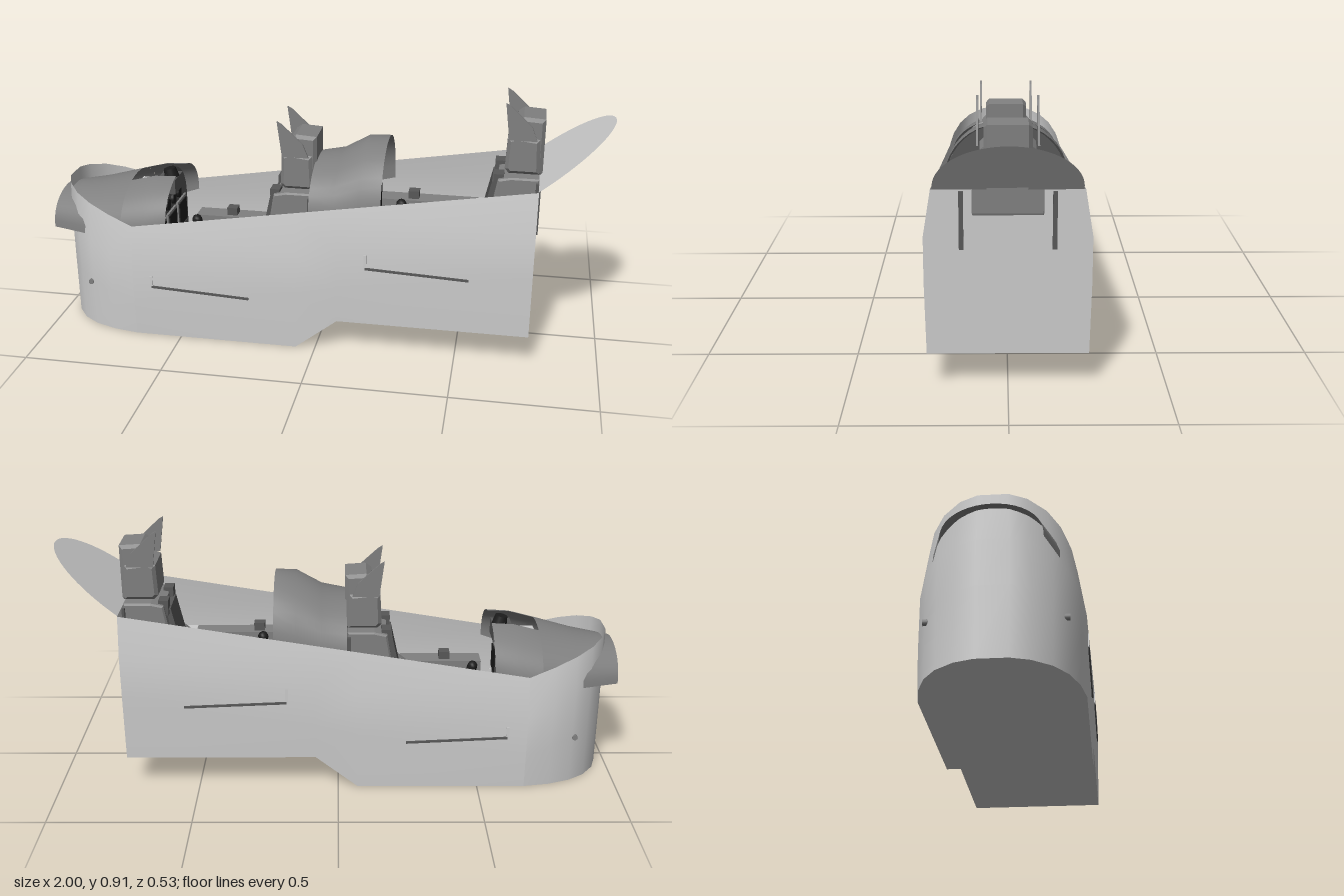
import * as THREE from 'three';

const mat = (name, color) => new THREE.MeshStandardMaterial({ name, color, side: THREE.DoubleSide });

export function createModel() {
  const model = new THREE.Group();
  model.name = 'cockpitTub';
  const pale = mat('paleGrey', 0xcccccc);
  const grey = mat('midGrey', 0x808080);
  const dark = mat('darkGrey', 0x585858);
  const black = mat('black', 0x1c1c1c);

  const add = (parent, name, geo, material, x = 0, y = 0, z = 0) => {
    const m = new THREE.Mesh(geo, material);
    m.name = name;
    m.position.set(x, y, z);
    parent.add(m);
    return m;
  };
  const box = (parent, name, material, x0, x1, y0, y1, z0, z1) =>
    add(parent, name, new THREE.BoxGeometry(x1 - x0, y1 - y0, z1 - z0), material,
      (x0 + x1) / 2, (y0 + y1) / 2, (z0 + z1) / 2);
  // Side-view outline extruded across z, centred on z
  const plate = (parent, name, material, pts, width, z = 0, bevel = 0) => {
    const shape = new THREE.Shape(pts.map(p => new THREE.Vector2(p[0], p[1])));
    const geo = new THREE.ExtrudeGeometry(shape, { depth: width - 2 * bevel, bevelEnabled: bevel > 0,
      bevelThickness: bevel, bevelSize: bevel, bevelOffset: -bevel, bevelSegments: 1 });
    return add(parent, name, geo, material, 0, 0, z - width / 2 + bevel);
  };
  // Skin through equal-length rows of points
  const loft = (rows, flat = false) => {
    const n = rows[0].length, idx = [];
    for (let i = 0; i < rows.length - 1; i++)
      for (let j = 0; j < n - 1; j++) {
        const a = i * n + j, b = a + n;
        idx.push(a, b, a + 1, b, b + 1, a + 1);
      }
    let geo = new THREE.BufferGeometry();
    geo.setAttribute('position', new THREE.Float32BufferAttribute(rows.flat(2), 3));
    geo.setIndex(idx);
    if (flat) geo = geo.toNonIndexed();
    geo.computeVertexNormals();
    return geo;
  };

  // Hull sides, leaning inward near the sill
  const sill = x => x < -0.67 ? 0.42 + (-0.67 - x) * 0.367 : 0.42 + (x + 0.67) * 0.1614;
  const section = (x, yB, w, s) => {
    const t = sill(x);
    return [[x, yB, s * w * 0.98], [x, t - 0.3, s * w], [x, t - 0.15, s * w], [x, t, s * w * 0.905]];
  };
  const body = [[-0.67, 0], [-0.07, 0], [0.08, 0.118], [0.755, 0.118]];
  for (const s of [1, -1])
    add(model, s > 0 ? 'leftHullSide' : 'rightHullSide',
      loft(body.map(([x, y]) => section(x, y, 0.258, s))), pale);

  // Rounded nose wall rising toward the front
  const nose = [[-0.67, 0.258], [-0.76, 0.242], [-0.84, 0.212], [-0.9, 0.17], [-0.945, 0.11], [-0.965, 0.05]];
  const noseRows = [...nose.map(([x, w]) => section(x, 0, w, 1)),
    ...nose.slice().reverse().map(([x, w]) => section(x, 0, w, -1))];
  add(model, 'noseWall', loft(noseRows), pale);

  // Underside, inner floor and rear bulkhead
  const stations = [...nose.slice().reverse().map(([x, w]) => [x, 0, w]),
    ...body.slice(1).map(([x, y]) => [x, y, 0.258])];
  const floorRows = (dy, k) => stations.map(([x, y, w]) => [[x, y + dy, w * k], [x, y + dy, -w * k]]);
  add(model, 'underside', loft(floorRows(0, 0.98), true), pale);
  add(model, 'cockpitFloor', loft(floorRows(0.06, 0.975), true), pale);
  add(model, 'rearBulkhead', loft(section(0.755, 0.118, 0.258, 1).map(([x, y, z]) =>
    [[x, y, z], [x, y, -z]]), true), pale);

  // Inclined half-oval panel behind the rear seat
  const oval = [];
  for (let i = 0; i <= 32; i++) {
    const a = Math.PI * i / 32, k = Math.sin(a);
    oval.push([[0.755 + 0.245 * k, 0.65 + 0.195 * k, 0.228 * Math.cos(a)], [0.755, 0.65, 0.228 * Math.cos(a)]]);
  }
  add(model, 'rearCanopyPanel', loft(oval, true), pale);

  // Arched hoods: stations are [x, half width, base y, top y]
  const arch = (rows, a0, a1) => loft(rows.map(([x, w, b, t]) => {
    const row = [];
    for (let i = 0; i <= 20; i++) {
      const a = (a0 + (a1 - a0) * i / 20) * Math.PI / 180;
      row.push([x, b + (t - b) * Math.pow(Math.abs(Math.sin(a)), 0.85), w * Math.cos(a)]);
    }
    return row;
  }));
  const face = (x, w, b, t, low) => {
    const rows = [];
    for (let i = 0; i <= 24; i++) {
      const a = Math.PI * i / 24, z = w * Math.cos(a);
      rows.push([[x, b + (t - b) * Math.pow(Math.sin(a) + 1e-9, 0.85), z], [x, low, z]]);
    }
    return loft(rows, true);
  };
  const front = [[-1, 0.15, 0.36, 0.475], [-0.86, 0.192, 0.36, 0.5], [-0.72, 0.222, 0.36, 0.538]];
  const back = [front[2], [-0.63, 0.224, 0.37, 0.562], [-0.55, 0.218, 0.4, 0.565]];
  add(model, 'frontHood', arch(front, 0, 180), grey);
  add(model, 'frontHoodLeft', arch(back, 0, 73), grey);
  add(model, 'frontHoodRight', arch(back, 107, 180), grey);
  box(model, 'hoodRecess', pale, -0.72, -0.62, 0.49, 0.498, -0.065, 0.065);
  box(model, 'sightBase', dark, -0.63, -0.56, 0.48, 0.535, -0.05, 0.05);
  const lens = add(model, 'sightLens', new THREE.CylinderGeometry(0.022, 0.028, 0.035, 16), black, -0.59, 0.547, 0);
  lens.rotation.z = 0.2;
  const middle = [[-0.03, 0.215, 0.47, 0.655], [0.06, 0.218, 0.47, 0.675],
    [0.15, 0.22, 0.48, 0.728], [0.225, 0.218, 0.5, 0.73]];
  add(model, 'middleHood', arch(middle, 0, 180), grey);
  add(model, 'middleHoodFront', face(-0.028, 0.215, 0.47, 0.655, 0.42), grey);

  // Instrument panels with dark screens
  for (const [x, w, b, t, low] of [[-0.6, 0.215, 0.37, 0.55, 0.2], [0.17, 0.214, 0.48, 0.715, 0.36]]) {
    add(model, 'instrumentPanel', face(x, w, b, t, low), dark);
    const y = b - 0.03;
    for (const z of [-0.125, 0, 0.125]) {
      box(model, 'screenFrame', grey, x, x + 0.008, y - 0.055, y + 0.055, z - 0.053, z + 0.053);
      box(model, 'screen', black, x + 0.006, x + 0.012, y - 0.045, y + 0.045, z - 0.043, z + 0.043);
    }
    for (const z of [-0.1, -0.035, 0.035, 0.1]) {
      const dial = add(model, 'dial', new THREE.CylinderGeometry(0.022, 0.022, 0.01, 14), black, x + 0.004, b + 0.06, z);
      dial.rotation.z = Math.PI / 2;
    }
  }

  // Side consoles, dark ahead and pale behind
  for (const s of [1, -1])
    for (const [x0, x1, x2, y0, y1] of [[-0.55, -0.24, -0.07, 0.06, 0.31], [0.16, 0.54, 0.75, 0.178, 0.43]]) {
      const z0 = s > 0 ? 0.168 : -0.245, z1 = s > 0 ? 0.245 : -0.168;
      box(model, 'consoleFront', grey, x0, x1, y0, y1, z0, z1);
      box(model, 'consoleRear', pale, x1, x2, y0, y1, z0, z1);
      box(model, 'throttle', dark, x0 + 0.12, x0 + 0.16, y1, y1 + 0.03, s * 0.205 - 0.02, s * 0.205 + 0.02);
    }

  // Ejection seats
  const seat = (dx, dy) => {
    const g = new THREE.Group();
    g.name = 'seat';
    box(g, 'seatBase', dark, 0.37, 0.66, 0.18, 0.32, -0.1, 0.1);
    plate(g, 'seatPan', grey, [[0.35, 0.29], [0.35, 0.37], [0.39, 0.385], [0.6, 0.355], [0.62, 0.29]], 0.23, 0, 0.01);
    plate(g, 'seatBack', grey, [[0.56, 0.32], [0.615, 0.64], [0.66, 0.65], [0.757, 0.65], [0.757, 0.575], [0.66, 0.28]], 0.226, 0, 0.006);
    plate(g, 'backCushion', dark, [[0.54, 0.37], [0.595, 0.62], [0.62, 0.62], [0.57, 0.36]], 0.15);
    plate(g, 'headrest', grey, [[0.635, 0.67], [0.64, 0.78], [0.67, 0.79], [0.75, 0.78], [0.755, 0.655], [0.65, 0.655]], 0.17, 0, 0.012);
    plate(g, 'headBox', grey, [[0.66, 0.77], [0.67, 0.84], [0.69, 0.855], [0.765, 0.85], [0.765, 0.65], [0.7, 0.65]], 0.146, 0, 0.012);
    for (const s of [1, -1]) {
      plate(g, 'seatSide', grey, [[0.34, 0.24], [0.34, 0.4], [0.5, 0.42], [0.6, 0.5], [0.66, 0.5], [0.64, 0.24]], 0.02, s * 0.122);
      box(g, 'seatRail', dark, 0.33, 0.755, 0.32, 0.335, s * 0.14 - 0.006, s * 0.14 + 0.006);
      plate(g, 'headHorn', grey, [[0.628, 0.91], [0.645, 0.9], [0.72, 0.83], [0.74, 0.78], [0.645, 0.78]], 0.007, s * 0.092);
      box(g, 'shoulderPad', dark, 0.6, 0.635, 0.6, 0.655, s * 0.07 - 0.025, s * 0.07 + 0.025);
      box(g, 'backRail', dark, 0.745, 0.762, 0.462, 0.645, s * 0.142 - 0.007, s * 0.142 + 0.007);
    }
    g.position.set(dx, dy, 0);
    model.add(g);
  };
  seat(0, 0);
  seat(-0.79, -0.11);

  // Control sticks
  for (const [x, y, h] of [[-0.49, 0.06, 0.28], [0.28, 0.178, 0.28]]) {
    add(model, 'stickShaft', new THREE.CylinderGeometry(0.01, 0.014, h, 10), dark, x, y + h / 2, 0);
    add(model, 'stickGrip', new THREE.CapsuleGeometry(0.019, 0.05, 3, 10), black, x, y + h, 0).rotation.z = 0.25;
  }

  // Slim side strips with upright ends, and nose ports
  for (const s of [1, -1]) {
    for (const [x, y, slope, h] of [[-0.42, 0.19, -0.05, 0.05], [0.36, 0.328, -0.045, 0.06]]) {
      box(model, 'sideStrip', dark, x - 0.18, x + 0.18, y - 0.004, y + 0.004, s * 0.259 - 0.004, s * 0.259 + 0.004).rotation.z = slope;
      box(model, 'stripEnd', pale, x - 0.185, x - 0.175, y + 0.005, y + h, s * 0.258 - 0.003, s * 0.258 + 0.003);
    }
    const port = add(model, 'nosePort', new THREE.CylinderGeometry(0.01, 0.01, 0.02, 12), grey, -0.85, 0.175, s * 0.205);
    port.rotation.x = Math.PI / 2;
  }
  return model;
}
